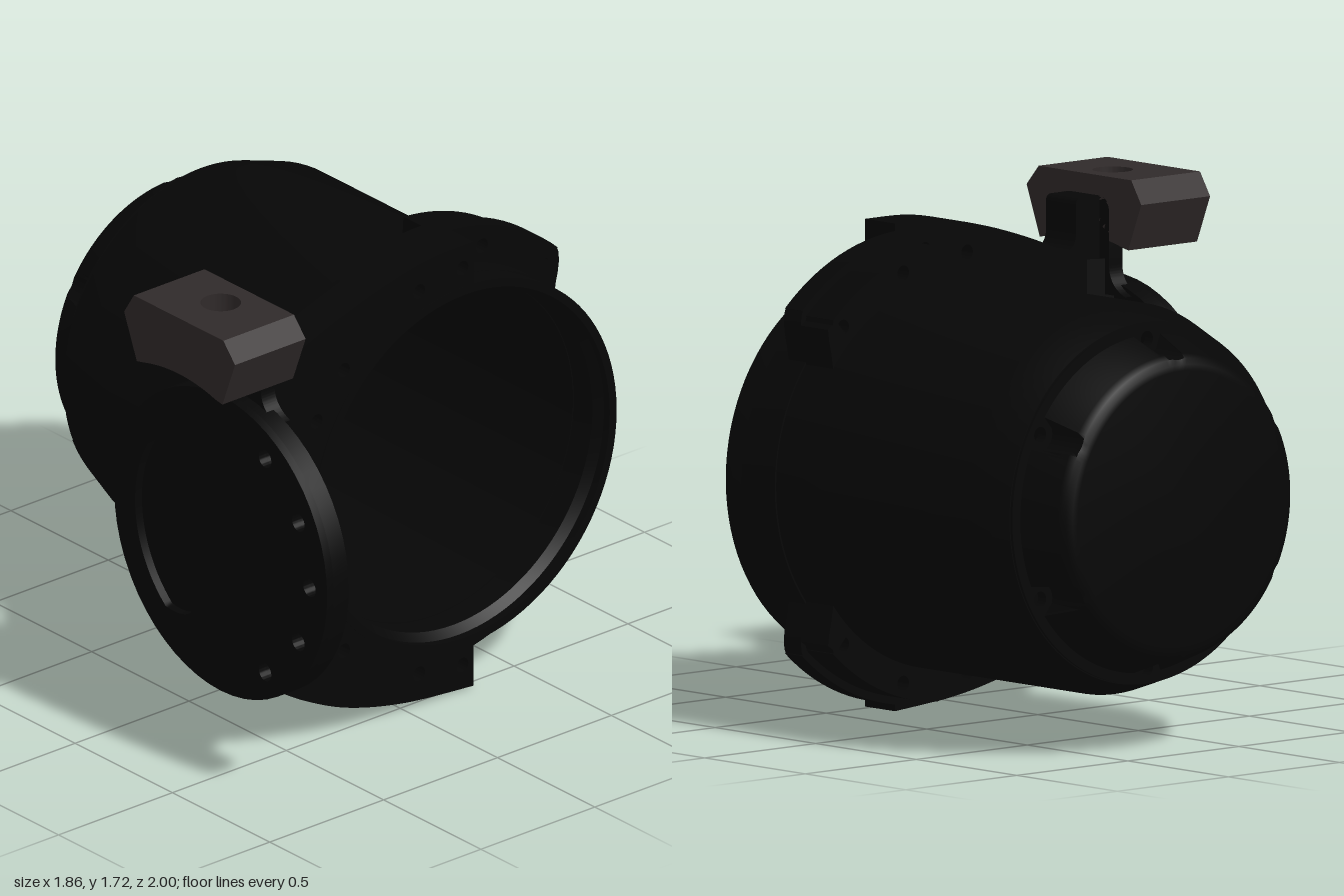
import * as THREE from 'three';
import { toCreasedNormals } from 'three/addons/utils/BufferGeometryUtils.js';

const CX = 0.26, CY = 0.827, RAD = Math.PI / 180; // axis of the housing
const black = new THREE.MeshStandardMaterial({ color: 0x060606, side: THREE.DoubleSide });
const brown = new THREE.MeshStandardMaterial({ color: 0x302a2a, side: THREE.DoubleSide });

const V = (x, y) => new THREE.Vector2(x, y);
const polar = (r, deg) => V(CX + r * Math.cos(deg * RAD), CY + r * Math.sin(deg * RAD));
const circle = (x, y, r) => new THREE.Path().absarc(x, y, r, 0, Math.PI * 2, true);

function add(parent, name, geometry, material = black) {
  const mesh = new THREE.Mesh(toCreasedNormals(geometry, 0.6), material);
  mesh.name = name;
  parent.add(mesh);
}
const extrude = (shape, depth) => new THREE.ExtrudeGeometry(shape, { depth, bevelEnabled: false, curveSegments: 28 });
// plate in the xy plane from z0 to z1
const plateZ = (shape, z0, z1) => extrude(shape, z1 - z0).translate(0, 0, z0);
// profile drawn as (z, y), extruded from x0 to x1
const plateX = (shape, x0, x1) => extrude(shape, x1 - x0).rotateY(-Math.PI / 2).translate(x1, 0, 0);
// plan drawn as (x, -z), extruded from y0 to y1
const plateY = (shape, y0, y1) => extrude(shape, y1 - y0).rotateX(-Math.PI / 2).translate(0, y0, 0);
// (radius, z) profile turned about the housing axis
const turned = profile =>
  new THREE.LatheGeometry(profile.map(p => V(...p)), 96).rotateX(Math.PI / 2).translate(CX, CY, 0);

// radius of a circle indented by six round notches of size n
function notched(deg, R, n) {
  const d = (((deg + 360) % 60) - 30) * RAD, s = 0.555 * Math.sin(d);
  return Math.abs(s) < n ? Math.min(R, 0.555 * Math.cos(d) - Math.sqrt(n * n - s * s)) : R;
}

// mirrored bolt holes through the flange and the arm
const boltHoles = [];
for (const [x, dy] of [[0.06, 0.708], [0.25, 0.735], [0.47, 0.692], [0.74, 0.535], [-0.27, 0.52], [-0.39, 0.367]])
  boltHoles.push([x, CY + dy], [x, CY - dy]);

function housing(parent) {
  // hollow barrel with a chamfered rear
  add(parent, 'barrel', turned([[0.605, -0.82], [0.61, -0.82], [0.66, -0.67], [0.66, 0.37], [0.61, 0.37],
    [0.61, -0.67], [0.605, -0.82]]));

  // inward lip with six screw lobes, open on one side
  const pts = [];
  for (let a = -158; a <= 158; a += 2) pts.push(polar(0.606, a));
  for (let a = 158; a >= -158; a--) pts.push(polar(notched(a, 0.55, 0.06), a));
  const lip = new THREE.Shape(pts);
  for (let k = 0; k < 6; k++) {
    const c = polar(0.555, 30 + 60 * k);
    lip.holes.push(circle(c.x, c.y, 0.027));
  }
  add(parent, 'rearLip', plateZ(lip, -0.83, -0.79));
}

// hollow tapered cap with six screw notches and one flat side
function rearCap(parent) {
  // z, radius, notch size, flat side x
  const levels = [[-0.97, 0, 0.08, -0.23], [-0.97, 0.485, 0.08, -0.23], [-0.83, 0.54, 0.08, -0.23],
    [-0.83, 0.57, 0.055, -0.26], [-0.96, 0.518, 0.055, -0.26], [-0.985, 0.505, 0.055, -0.255],
    [-0.997, 0.485, 0.055, -0.245], [-1, 0.465, 0.055, -0.23], [-1, 0, 0.055, -0.23]];
  const N = 240, pos = [], index = [];
  for (const [z, R, n, flat] of levels)
    for (let i = 0; i < N; i++) {
      const p = polar(notched(i / N * 360, R, n), i / N * 360);
      pos.push(Math.max(p.x, flat), p.y, z);
    }
  for (let l = 0; l < levels.length - 1; l++)
    for (let i = 0; i < N; i++) {
      const a = l * N + i, b = l * N + (i + 1) % N;
      index.push(a, a + N, b, b, a + N, b + N);
    }
  const g = new THREE.BufferGeometry();
  g.setAttribute('position', new THREE.Float32BufferAttribute(pos, 3));
  g.setIndex(index);
  add(parent, 'rearCap', g);
}

// ring sector between two angles, with the bolt holes it contains
function sector(parent, name, a0, a1, rIn, r, z0, z1) {
  const pts = [], steps = Math.round((a1 - a0) / 3);
  for (let i = 0; i <= steps; i++) pts.push(polar(r, a0 + (a1 - a0) * i / steps));
  for (let i = steps; i >= 0; i--) pts.push(polar(rIn, a0 + (a1 - a0) * i / steps));
  const shape = new THREE.Shape(pts);
  for (const [x, y] of boltHoles) {
    const a = (Math.atan2(y - CY, x - CX) / RAD + 360) % 360;
    if (a > a0 && a < a1 && r > 0.75) shape.holes.push(circle(x, y, 0.026));
  }
  add(parent, name, plateZ(shape, z0, z1));
}

// flange cut away on the +x side, thickened at the two ears and opposite them
function flange(parent) {
  sector(parent, 'frontFlange', 47, 313, 0.64, 0.796, 0.285, 0.37);
  sector(parent, 'upperEar', 47, 86, 0.64, 0.77, 0.15, 0.29);
  sector(parent, 'lowerEar', 274, 313, 0.64, 0.77, 0.15, 0.29);
  sector(parent, 'sideThickening', 140, 220, 0.64, 0.8, 0.145, 0.29);
  // rounded ear tips running into the barrel
  for (const m of [1, -1])
    for (const [tip, z0, z1] of [[0.796, 0.285, 0.37], [0.77, 0.15, 0.29]]) {
      const f = [[0.645, 47.5], [tip, 47.5], [tip - 0.01, 46], [0.765, 44.2], [0.735, 42.3], [0.7, 40.3], [0.672, 38.2], [0.645, 36]];
      add(parent, 'earTip', plateZ(new THREE.Shape(f.map(([r, a]) => polar(r, a * m))), z0, z1));
    }
}

function arm(parent) {
  // front rim: a fine gap parts it from the barrel on the arm side only
  add(parent, 'frontRim', turned([[0.61, 0.378], [0.66, 0.378], [0.665, 0.39], [0.665, 0.53], [0.635, 0.53], [0.635, 0.5],
    [0.61, 0.47], [0.61, 0.378]]));
  sector(parent, 'rimBridge', -100, 100, 0.613, 0.666, 0.285, 0.45);

  // curved plate carrying the rim
  const s = new THREE.Shape();
  s.moveTo(0.3, 0);
  s.lineTo(0.3, 0.167);
  s.absarc(CX, CY, 0.661, -86.6 * RAD, 86.6 * RAD, true);
  s.lineTo(0.3, 1.645);
  s.splineThru([V(0.1, 1.64), V(-0.1, 1.6), V(-0.3, 1.54), V(-0.47, 1.475)]);
  s.quadraticCurveTo(-0.515, 1.48, -0.515, 1.54);
  s.lineTo(-0.515, 1.63);
  s.quadraticCurveTo(-0.515, 1.65, -0.54, 1.65);
  for (const [x, y] of [[-0.62, 1.65], [-0.62, 1.48], [-0.68, 1.48], [-0.68, 0.28], [-0.61, 0.28]]) s.lineTo(x, y);
  s.splineThru([V(-0.45, 0.18), V(-0.25, 0.09), V(0, 0.03), V(0.3, 0)]);
  for (const [x, y] of boltHoles) if (x < 0.3) s.holes.push(circle(x, y, 0.026));
  add(parent, 'armPlate', plateZ(s, 0.378, 0.527));

  // rounded post that flares into the side disc
  const post = new THREE.Shape();
  post.moveTo(0.66, 1.32);
  post.quadraticCurveTo(0.58, 1.35, 0.58, 1.42);
  post.lineTo(0.58, 1.6);
  post.quadraticCurveTo(0.575, 1.65, 0.53, 1.65);
  post.lineTo(0.38, 1.65);
  post.quadraticCurveTo(0.335, 1.65, 0.33, 1.6);
  post.lineTo(0.33, 1.42);
  post.quadraticCurveTo(0.33, 1.35, 0.25, 1.32);
  add(parent, 'post', plateX(post, -0.68, -0.62));

  // tapered web joining disc and plate
  const web = [[-0.66, -0.565], [-0.62, -0.55], [-0.56, -0.525], [-0.56, -0.38], [-0.62, -0.35], [-0.66, -0.335]];
  add(parent, 'joiningWeb', plateY(new THREE.Shape(web.map(p => V(...p))), 0.285, 1.44));

  // side disc: an arc of holes in front, a shallow pocket behind on the outer face
  for (const [x0, x1, outer] of [[-0.715, -0.65, false], [-0.745, -0.715, true]]) {
    const disc = new THREE.Shape().absarc(0.45, CY, 0.547, 0, Math.PI * 2);
    for (const a of [-60, -29, 0, 29, 60])
      disc.holes.push(circle(0.45 + 0.456 * Math.cos(a * RAD), CY + 0.456 * Math.sin(a * RAD), 0.032));
    if (outer) {
      const pocket = new THREE.Path();
      pocket.absarc(0.45, CY, 0.44, 130 * RAD, 230 * RAD, false);
      pocket.quadraticCurveTo(0.33, CY - 0.36, 0.33, CY - 0.22);
      pocket.lineTo(0.33, CY + 0.22);
      pocket.quadraticCurveTo(0.33, CY + 0.36, 0.45 + 0.44 * Math.cos(130 * RAD), CY + 0.44 * Math.sin(130 * RAD));
      disc.holes.push(pocket);
    }
    add(parent, 'sideDisc', plateX(disc, x0, x1));
  }
}

// chamfered block with a concave underside and a countersunk hole
function clampBlock(parent) {
  const zc = 0.45, h = 0.075, xc = -0.745;
  const profile = (z0, z1) => {
    const pts = [[0.17, 1.64], [0.22, 1.718], [0.68, 1.718], [0.74, 1.65], [0.675, 1.48]]
      .filter(([z]) => z > z0 && z < z1).map(p => V(...p));
    if (z0 > 0.2) pts.unshift(V(z0, 1.718));
    if (z1 < 0.7) pts.push(V(z1, 1.718));
    const lo = Math.max(z0, 0.27), hi = Math.min(z1, 0.64);
    for (let i = 0; i <= 10; i++) {
      const z = hi + (lo - hi) * i / 10;
      pts.push(V(z, CY + Math.sqrt(0.685 ** 2 - (z - zc) ** 2)));
    }
    if (z0 < 0.2) pts.push(V(0.235, 1.48));
    return new THREE.Shape(pts);
  };
  add(parent, 'blockOuterSide', plateX(profile(0, 1), -0.93, xc - h), brown);
  add(parent, 'blockInnerSide', plateX(profile(0, 1), xc + h, -0.62), brown);
  add(parent, 'blockFront', plateX(profile(zc + h, 1), xc - h, xc + h), brown);
  add(parent, 'blockBack', plateX(profile(0, zc - h), xc - h, xc + h), brown);
  for (const [r, y0, y1] of [[0.032, 1.51, 1.6], [0.068, 1.6, 1.718]]) {
    const core = new THREE.Shape([V(xc - h, -zc - h), V(xc + h, -zc - h), V(xc + h, -zc + h), V(xc - h, -zc + h)]);
    core.holes.push(circle(xc, -zc, r));
    add(parent, 'screwSeat', plateY(core, y0, y1), brown);
  }
}

export function createModel() {
  const model = new THREE.Group();
  model.name = 'housingWithBracket';
  for (const build of [housing, rearCap, flange, arm, clampBlock]) build(model);
  return model;
}
